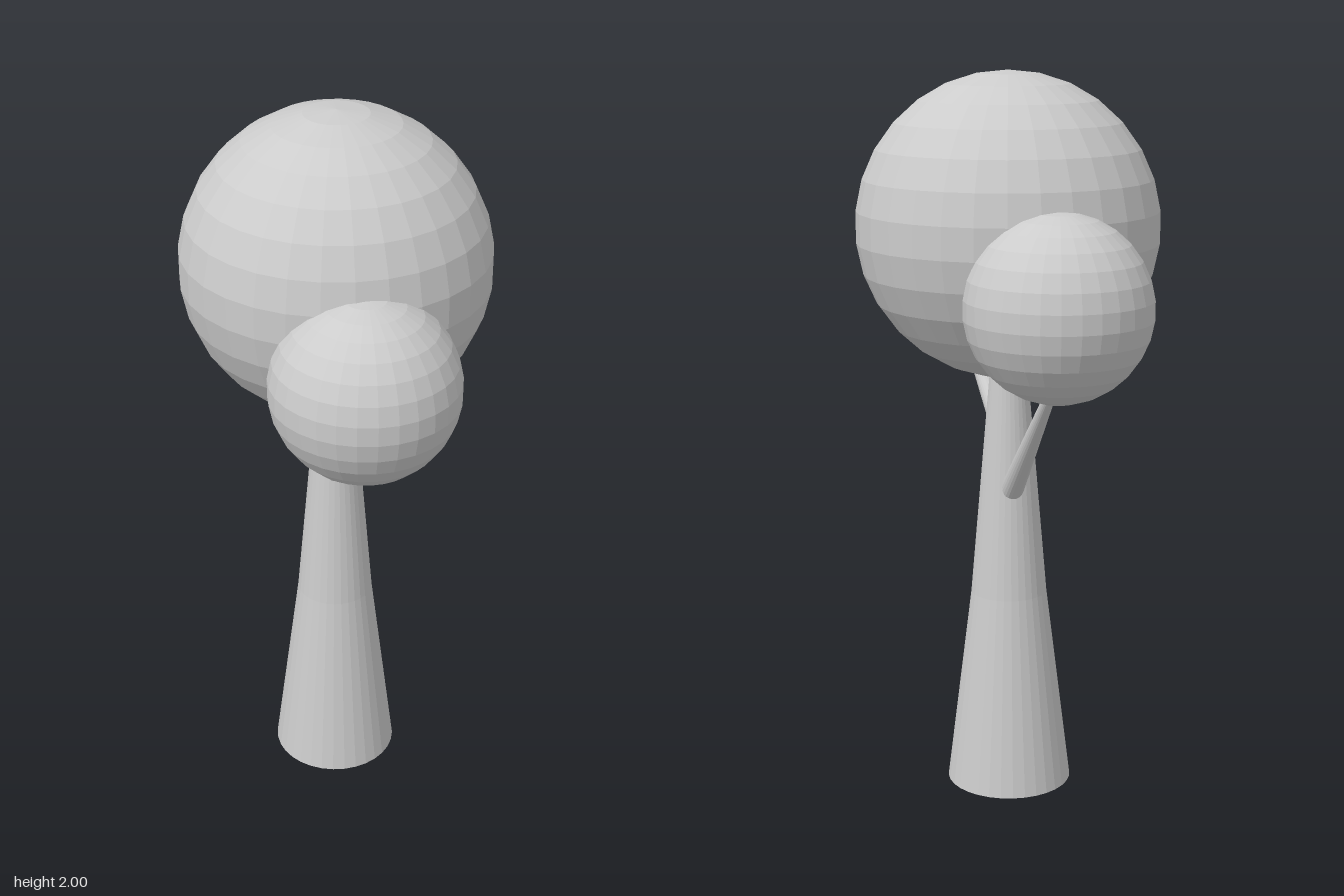
import * as THREE from 'three';

const material = new THREE.MeshStandardMaterial({ color: 0xcccccc, flatShading: true });

function add(group, name, geometry, position = [0, 0, 0]) {
  const mesh = new THREE.Mesh(geometry, material);
  mesh.name = name;
  mesh.position.set(...position);
  group.add(mesh);
  return mesh;
}

// Faceted ball of foliage
function addFoliage(group, name, radius, position) {
  return add(group, name, new THREE.SphereGeometry(radius, 30, 15), position);
}

// Tapered limb running between two points
function addBranch(group, name, from, to, r0, r1) {
  const a = new THREE.Vector3(...from);
  const b = new THREE.Vector3(...to);
  const dir = b.clone().sub(a);
  const mesh = add(group, name, new THREE.CylinderGeometry(r1, r0, dir.length(), 24));
  mesh.position.copy(a).add(b).multiplyScalar(0.5);
  mesh.quaternion.setFromUnitVectors(new THREE.Vector3(0, 1, 0), dir.normalize());
  return mesh;
}

export function createModel() {
  const tree = new THREE.Group();
  tree.name = 'tree';

  // Trunk: closed profile, flaring towards the ground
  const profile = [[0, 0], [0.175, 0], [0.106, 0.56], [0.048, 1.24], [0, 1.24]];
  add(tree, 'trunk', new THREE.LatheGeometry(profile.map(([r, y]) => new THREE.Vector2(r, y)), 32),
    [0.007, 0, -0.004]);

  // Branches carrying the side foliage
  addBranch(tree, 'frontBranch', [0.03, 0.97, 0.03], [0.27, 1.25, 0.21], 0.033, 0.018);
  addBranch(tree, 'backBranch', [-0.03, 0.87, -0.05], [-0.275, 1.22, -0.27], 0.032, 0.014);

  // Crown and side foliage
  addFoliage(tree, 'crown', 0.41, [0.008, 1.59, -0.006]);
  addFoliage(tree, 'frontFoliage', 0.243, [0.285, 1.427, 0.261]);
  addFoliage(tree, 'backFoliage', 0.243, [-0.288, 1.427, -0.263]);

  return tree;
}
